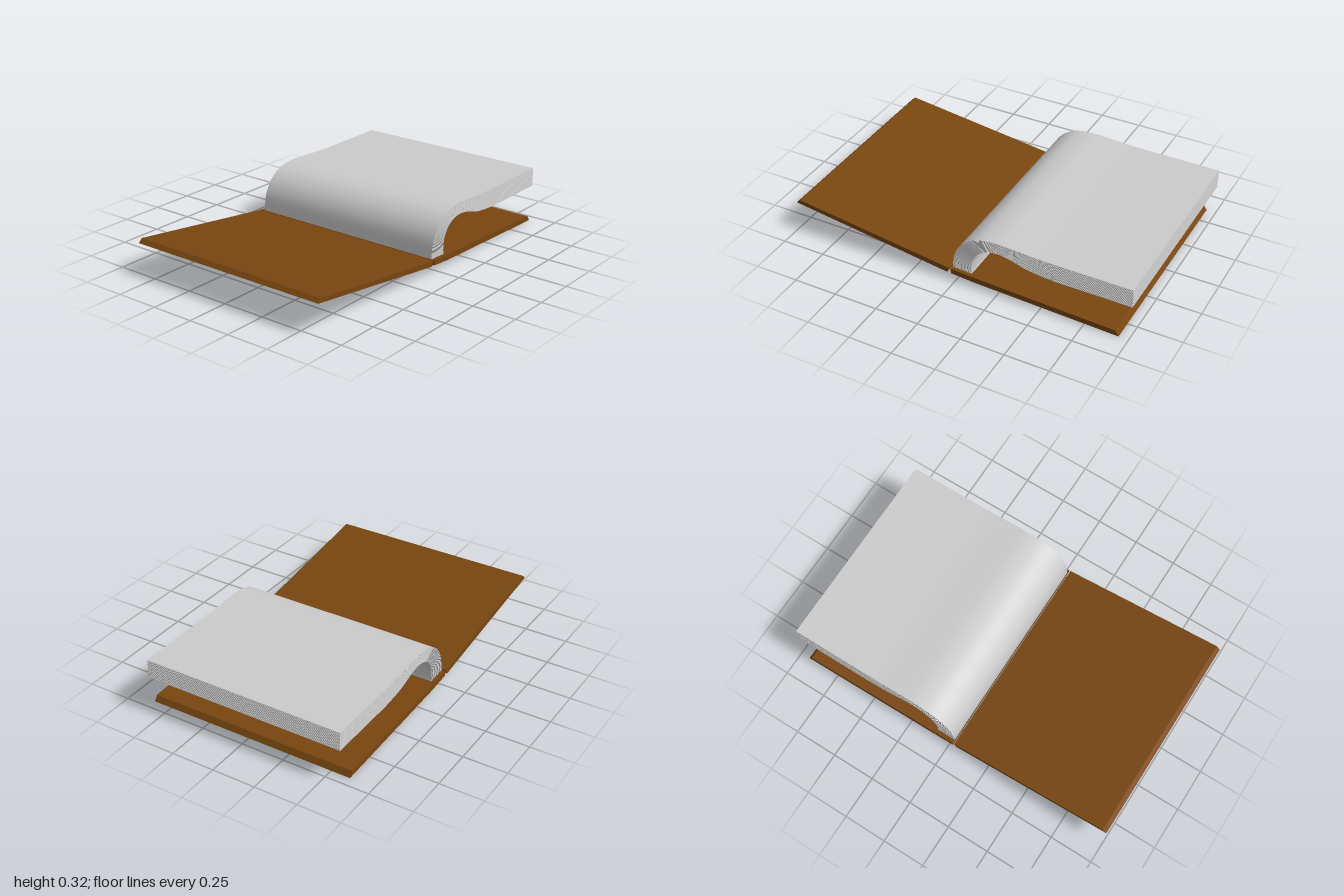
import * as THREE from 'three';
import { toCreasedNormals } from 'three/addons/utils/BufferGeometryUtils.js';

const points = (list) => list.map(([x, y]) => new THREE.Vector2(x, y));

// Extrudes a front outline along z, centred on z = 0
function slab(name, outline, width, material) {
  const geometry = new THREE.ExtrudeGeometry(new THREE.Shape(outline), {
    depth: width, bevelEnabled: false, steps: 1,
  });
  geometry.translate(0, 0, -width / 2);
  const mesh = new THREE.Mesh(toCreasedNormals(geometry, 0.6), material);
  mesh.name = name;
  return mesh;
}

export function createModel() {
  const book = new THREE.Group();
  book.name = 'openBook';
  const leather = new THREE.MeshStandardMaterial({ color: 0x78460f });
  const paper = new THREE.MeshStandardMaterial({ color: 0xcccccc });

  // Two cover boards with slanted ends, and the spine between them
  const boards = {
    rightCover: [[-1, 0.177], [-0.05, 0.045], [-0.035, 0.074], [-0.976, 0.199]],
    spine: [[-0.025, 0.044], [0.088, 0.035], [0.09, 0.066], [-0.03, 0.073]],
    leftCover: [[0.09, 0.034], [0.945, 0.002], [0.925, 0.033], [0.092, 0.066]],
  };
  for (const [name, outline] of Object.entries(boards)) {
    book.add(slab(name, points(outline), 1.22, leather));
  }

  // Outermost and innermost page curves, rising from the spine and folding to +x
  const outer = new THREE.SplineCurve(points([
    [-0.025, 0.07], [-0.02, 0.13], [0, 0.195], [0.045, 0.255], [0.12, 0.3],
    [0.22, 0.317], [0.33, 0.314], [0.45, 0.307], [0.57, 0.304],
  ]));
  const inner = new THREE.SplineCurve(points([
    [0.09, 0.065], [0.087, 0.1], [0.093, 0.15], [0.12, 0.2], [0.165, 0.235],
    [0.225, 0.25], [0.3, 0.244], [0.42, 0.21], [0.57, 0.195],
  ]));
  const segments = 40;
  const blend = (t) => Array.from({ length: segments + 1 }, (_, i) =>
    outer.getPoint(i / segments).lerp(inner.getPoint(i / segments), t))
    .concat(new THREE.Vector2(1, THREE.MathUtils.lerp(0.304, 0.195, t)));

  // Stack of thin sheets, each following its own blend of the two curves
  const pages = new THREE.Group();
  pages.name = 'pages';
  const count = 24;
  for (let i = 0; i < count; i++) {
    const top = blend(i / count);
    const bottom = blend((i + 0.6) / count);
    pages.add(slab('page', bottom.concat(top.reverse()), 1.176, paper));
  }
  book.add(pages);
  return book;
}
